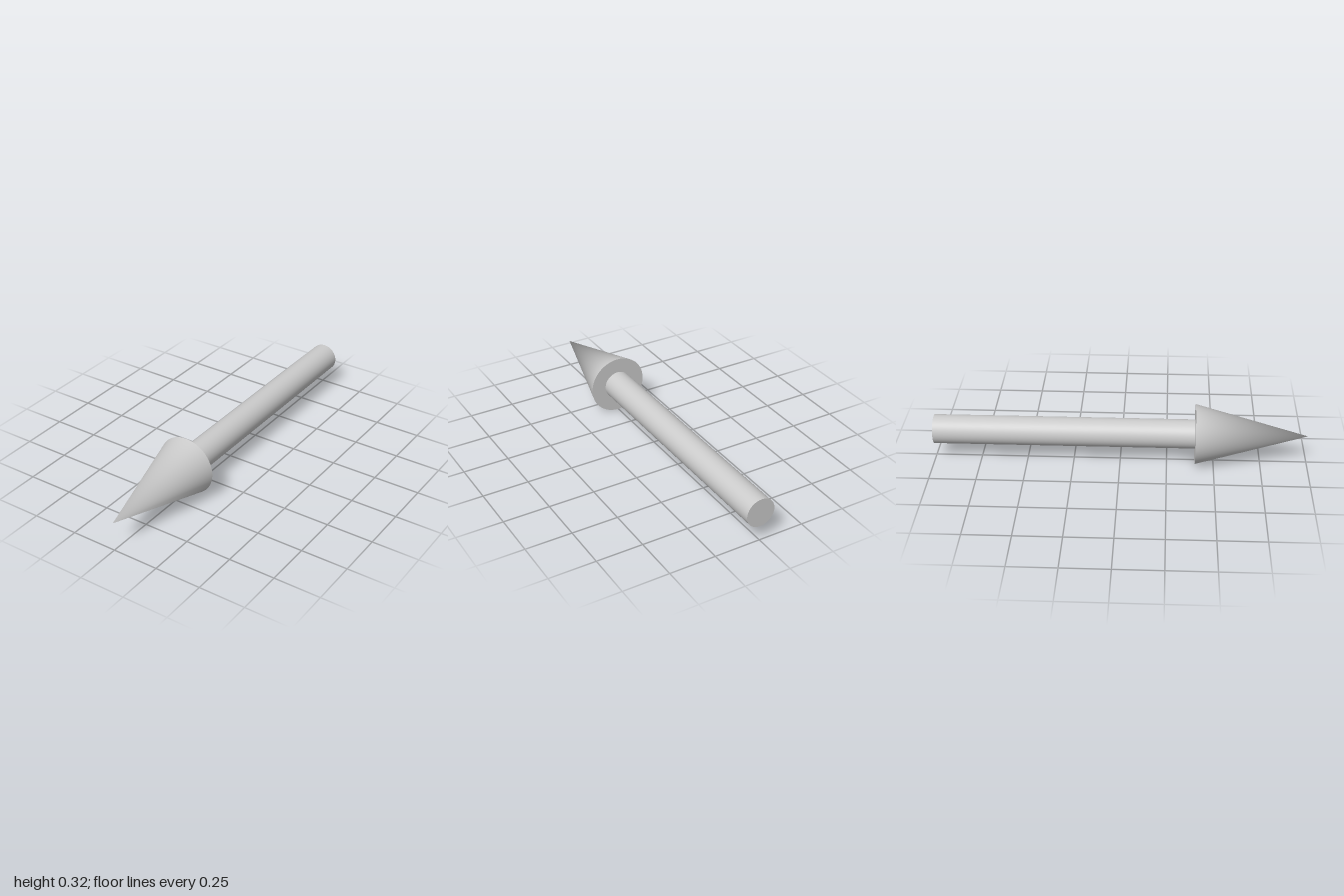
import * as THREE from 'three';

const SEGMENTS = 64;
const HEAD_RADIUS = 0.16, HEAD_LENGTH = 0.6;
const SHAFT_RADIUS = 0.078, SHAFT_LENGTH = 1.4;

export function createModel() {
  const group = new THREE.Group();
  group.name = 'arrow';
  const material = new THREE.MeshStandardMaterial({ color: 0xcccccc });

  // Lay a y-axis geometry along +z, centred at the given z
  const add = (name, geometry, z) => {
    const mesh = new THREE.Mesh(geometry.rotateX(Math.PI / 2), material);
    mesh.name = name;
    mesh.position.set(0, HEAD_RADIUS, z);
    group.add(mesh);
  };

  // Pointed head; its tip normals point forward so the shading rounds off at the point
  const head = new THREE.ConeGeometry(HEAD_RADIUS, HEAD_LENGTH, SEGMENTS);
  for (let i = 0; i <= SEGMENTS; i++) head.attributes.normal.setXYZ(i, 0, 1, 0);
  add('arrowHead', head, 1 - HEAD_LENGTH / 2);

  // Round shaft running back from the head
  add('shaft', new THREE.CylinderGeometry(SHAFT_RADIUS, SHAFT_RADIUS, SHAFT_LENGTH, SEGMENTS), -1 + SHAFT_LENGTH / 2);

  return group;
}
